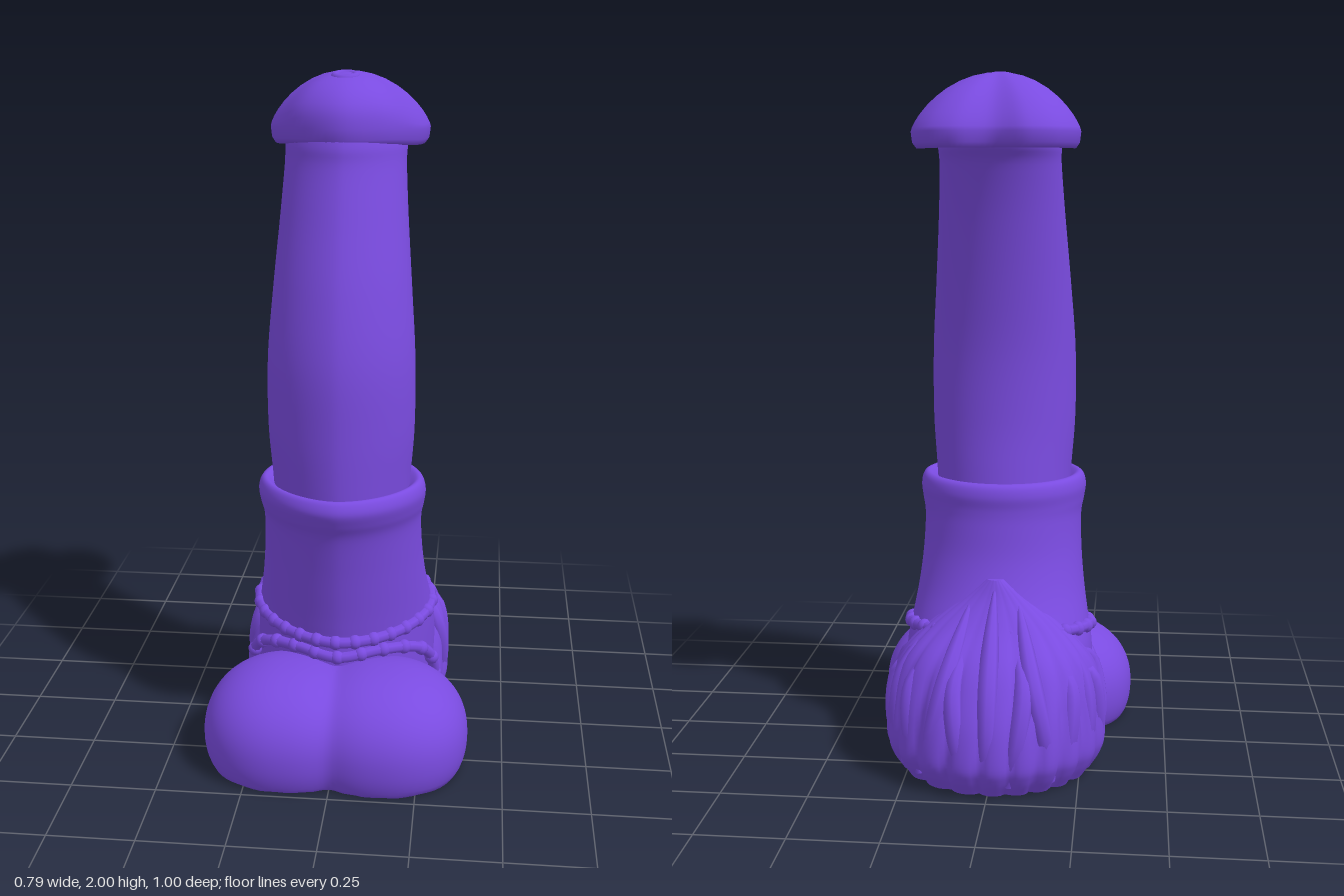
import * as THREE from 'three';

const SEG = 72;
const purple = new THREE.MeshStandardMaterial({ color: 0x7a4be0 });
purple.name = 'purple';

// Skin a stack of closed rings (bottom to top) and cap both ends with a hard edge.
function skin(rings) {
  const n = rings[0].length, pos = [], idx = [];
  const addRing = r => { const s = pos.length / 3; r.forEach(p => pos.push(p.x, p.y, p.z)); return s; };
  const starts = rings.map(addRing);
  for (let i = 0; i < rings.length - 1; i++) {
    for (let j = 0; j < n; j++) {
      const k = (j + 1) % n, a = starts[i], c = starts[i + 1];
      idx.push(a + j, c + j, a + k, a + k, c + j, c + k);
    }
  }
  [rings[0], rings[rings.length - 1]].forEach((r, top) => {
    const s = addRing(r), c = pos.length / 3;
    const m = r.reduce((v, p) => v.add(p), new THREE.Vector3()).divideScalar(n);
    pos.push(m.x, m.y, m.z);
    for (let j = 0; j < n; j++) {
      const k = (j + 1) % n;
      if (top) idx.push(c, s + k, s + j); else idx.push(c, s + j, s + k);
    }
  });
  const g = new THREE.BufferGeometry();
  g.setAttribute('position', new THREE.Float32BufferAttribute(pos, 3));
  g.setIndex(idx);
  g.computeVertexNormals();
  return g;
}

// One section: front z, back z, half width; e above 1 sharpens the front.
function sectionPoint(a, y, f, b, w, e) {
  const c = Math.cos(a), s = Math.sin(a), p = s > 0 ? e : 1;
  return new THREE.Vector3(
    Math.sign(c) * w * Math.abs(c) ** p, y,
    (f + b) / 2 + Math.sign(s) * (f - b) / 2 * Math.abs(s) ** p);
}

// Smooth loft through rows of [y, front z, back z, half width].
function loft(rows, steps, e, ripple) {
  const A = new THREE.CatmullRomCurve3(rows.map(r => new THREE.Vector3(r[0], r[1], r[2])), false, 'catmullrom');
  const B = new THREE.CatmullRomCurve3(rows.map(r => new THREE.Vector3(r[3], 0, 0)), false, 'catmullrom');
  const n = ripple ? SEG * 2 : SEG, rings = [];
  for (let i = 0; i <= steps; i++) {
    const t = i / steps, p = A.getPoint(t), w = Math.max(B.getPoint(t).x, 0.005), ring = [];
    for (let j = 0; j < n; j++) {
      const a = j / n * Math.PI * 2, k = ripple ? ripple(a, p.x) : 1;
      const v = sectionPoint(a, p.x, p.y, p.z, w, e), mid = (p.y + p.z) / 2;
      v.x *= k;
      v.z = mid + (v.z - mid) * k;
      ring.push(v);
    }
    rings.push(ring);
  }
  return skin(rings);
}

// Flared cap: heart outline scaled into a dome, full in front and sloping behind.
function headGeometry() {
  const half = [[0.1, -0.345], [0.18, -0.31], [0.235, -0.2], [0.197, -0.06], [0.12, 0.06]];
  const pts = [[0, -0.32], ...half, [0, 0.113], ...half.slice().reverse().map(([x, z]) => [-x, z])];
  const outline = new THREE.CatmullRomCurve3(pts.map(([x, z]) => new THREE.Vector3(x, 0, z)), true).getPoints(SEG).slice(0, SEG);
  const cz = -0.09;
  const ring = (s, drop) => outline.map(p => {
    const front = THREE.MathUtils.smoothstep(p.z, -0.15, 0.1);
    const r = 1.83 + 0.02 * front;
    const y = drop === null ? r + (1.995 - r) * (1 - s * s) ** (0.75 - 0.3 * front) : r - drop;
    return new THREE.Vector3(p.x * s, y, cz + (p.z - cz) * s);
  });
  const under = [[0.5, 0], [0.72, 0.02], [0.86, 0.04], [0.94, 0.045], [0.985, 0.03]].map(([s, d]) => ring(s, d));
  const dome = [1, 0.985, 0.95, 0.9, 0.82, 0.72, 0.6, 0.45, 0.3, 0.15, 0.02].map(s => ring(s, null));
  return skin([...under, ...dome]);
}

// Paired lobes: soft union of two rounded ellipsoids traced from a shared centre, cut flat at the floor.
function lobesGeometry() {
  const reach = (d, cx) => {
    let lo = 0, hi = 0.6;
    for (let i = 0; i < 24; i++) {
      const t = (lo + hi) / 2;
      const q = Math.abs((d.x * t - cx) / 0.255) ** 2.2 + Math.abs(d.y * t / 0.205) ** 2.2 + Math.abs(d.z * t / 0.25) ** 2.2;
      if (q < 1) lo = t; else hi = t;
    }
    return lo;
  };
  const g = new THREE.SphereGeometry(1, 96, 64), p = g.attributes.position, d = new THREE.Vector3();
  for (let i = 0; i < p.count; i++) {
    d.fromBufferAttribute(p, i).normalize();
    const r = (reach(d, 0.14) ** 18 + reach(d, -0.14) ** 18) ** (1 / 18);
    p.setXYZ(i, d.x * r, Math.max(0.09 + d.y * r, 0), 0.25 + d.z * r);
  }
  g.computeVertexNormals();
  return g;
}

// Tapered strand lying on the back of the base.
function strandGeometry(points, r) {
  const curve = new THREE.CatmullRomCurve3(points), T = 16, R = 8;
  const g = new THREE.TubeGeometry(curve, T, r, R);
  const p = g.attributes.position;
  for (let i = 0; i <= T; i++) {
    const c = curve.getPointAt(i / T), k = Math.sin(Math.PI * (0.03 + 0.85 * i / T)) ** 0.8;
    for (let j = 0; j <= R; j++) {
      const q = i * (R + 1) + j;
      const v = new THREE.Vector3().fromBufferAttribute(p, q).sub(c).multiplyScalar(k).add(c);
      p.setXYZ(q, v.x, Math.max(v.y, 0), v.z);
    }
  }
  g.computeVertexNormals();
  return g;
}

export function createModel() {
  const model = new THREE.Group();
  model.name = 'model';
  const add = (geo, name, parent = model) => {
    const m = new THREE.Mesh(geo, purple);
    m.name = name;
    parent.add(m);
    return m;
  };
  const group = name => { const g = new THREE.Group(); g.name = name; model.add(g); return g; };

  // Curved column
  add(loft([
    [0.74, 0.268, -0.14, 0.198], [0.85, 0.273, -0.127, 0.205], [1.0, 0.275, -0.112, 0.215], [1.2, 0.268, -0.11, 0.214],
    [1.4, 0.227, -0.133, 0.2], [1.6, 0.165, -0.172, 0.184], [1.74, 0.122, -0.215, 0.175],
    [1.8, 0.113, -0.25, 0.174], [1.86, 0.09, -0.22, 0.15],
  ], 48, 1.15), 'column');

  // Cap with small ring on top
  add(headGeometry(), 'cap');
  const ring = add(new THREE.TorusGeometry(0.03, 0.012, 10, 28), 'capRing');
  ring.position.set(0, 1.982, -0.04);
  ring.rotation.x = -Math.PI / 2 + 0.15;

  // Sleeve with rolled rim, running down into the base
  add(loft([
    [0, 0.25, -0.4, 0.27], [0.2, 0.22, -0.41, 0.28], [0.33, 0.205, -0.35, 0.277], [0.4, 0.21, -0.305, 0.266],
    [0.5, 0.225, -0.24, 0.25], [0.6, 0.242, -0.2, 0.24], [0.7, 0.264, -0.183, 0.237], [0.75, 0.288, -0.18, 0.245],
    [0.79, 0.303, -0.184, 0.25], [0.82, 0.294, -0.175, 0.242], [0.828, 0.278, -0.155, 0.225], [0.81, 0.262, -0.13, 0.2],
  ], 66, 1.15), 'sleeve');

  // Rounded front lobes with a soft cleft
  add(lobesGeometry(), 'frontLobes');

  // Grooved mantle at the back
  const mantle = (a, y) => {
    const grow = 1 - THREE.MathUtils.smoothstep(y, 0.1, 0.55);
    return 1 - (0.02 + 0.04 * grow) * (1 - Math.abs(Math.sin(a * 11 + 3 * y + 0.6 * Math.sin(a * 3)))) ** 1.5;
  };
  add(loft([
    [0, 0.12, -0.45, 0.285], [0.05, 0.13, -0.485, 0.312], [0.1, 0.13, -0.5, 0.324], [0.2, 0.1, -0.485, 0.318],
    [0.29, 0.04, -0.445, 0.3], [0.36, -0.04, -0.395, 0.26], [0.43, -0.11, -0.315, 0.19],
    [0.5, -0.15, -0.258, 0.1], [0.56, -0.18, -0.23, 0.025],
  ], 44, 1, mantle), 'mantle');

  // Pointed strands over the mantle
  const strands = group('strands');
  for (let i = -6; i <= 6; i++) {
    const a = -Math.PI / 2 + i * 0.28, sway = 0.1 * Math.sin(i * 2.3);
    const top = (i % 2 ? 0.42 : 0.53) - 0.012 * Math.abs(i) ** 1.5;
    const on = (b, y, rx, rz) => new THREE.Vector3(Math.cos(b) * rx, y, -0.18 + Math.sin(b) * rz);
    add(strandGeometry([
      on(a * 0.7 - 0.3 * Math.PI / 2 + sway, top, 0.24, i % 2 ? 0.135 : 0.06),
      on(a + sway, 0.3, 0.28, 0.25),
      on(a, 0.16, 0.3, 0.29),
      on(a - sway, 0.03, 0.285, 0.272),
    ], 0.03), 'strand', strands);
  }

  // Beaded cords: tilted band around the sleeve and a chain behind the lobes
  const beadGeo = new THREE.SphereGeometry(0.022, 12, 8);
  const beadedCord = (curve, count, name, closed) => {
    const g = group(name);
    add(new THREE.TubeGeometry(curve, 90, 0.017, 8, closed), 'cord', g);
    for (let i = 0; i < count; i++) {
      add(beadGeo, 'bead', g).position.copy(curve.getPointAt(i / (closed ? count : count - 1)));
    }
  };
  const band = [];
  for (let j = 0; j < 24; j++) {
    const a = j / 24 * Math.PI * 2;
    band.push(sectionPoint(a, 0.385 - 0.035 * Math.sin(a), 0.208, -0.295, 0.269, 1.15));
  }
  beadedCord(new THREE.CatmullRomCurve3(band, true), 28, 'upperBeads', true);

  const chain = [[0.275, 0.03, -0.03], [0.285, 0.1, -0.01], [0.285, 0.18, 0.02], [0.27, 0.25, 0.05], [0.225, 0.295, 0.1], [0.125, 0.312, 0.165]];
  const path = [...chain, [0, 0.3, 0.205], ...chain.slice().reverse().map(([x, y, z]) => [-x, y, z])];
  beadedCord(new THREE.CatmullRomCurve3(path.map(p => new THREE.Vector3(...p))), 17, 'lowerBeads', false);

  return model;
}
